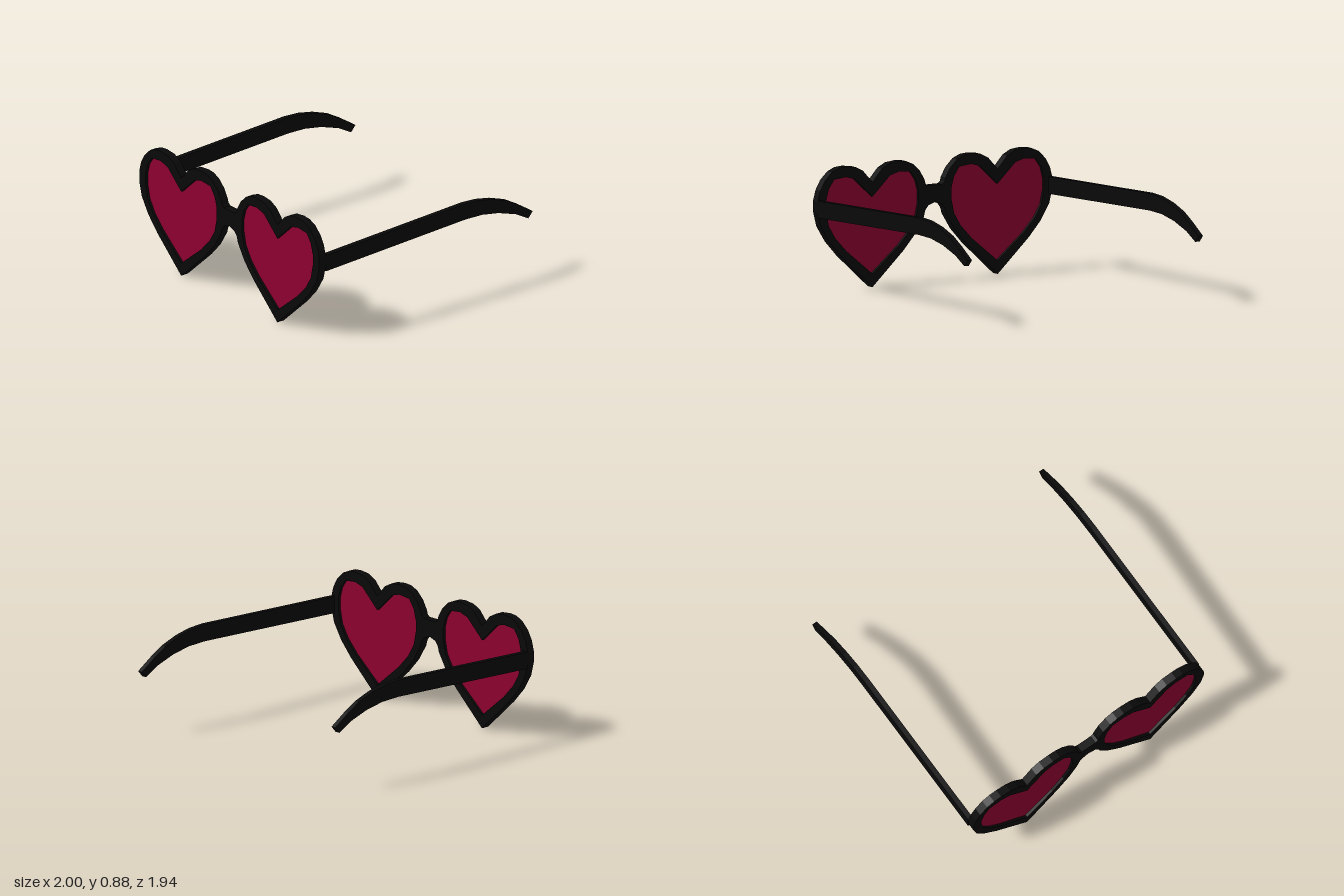
import * as THREE from 'three';

const FRONT = 0.97, BACK = 0.91;   // z range of the front frame
const HEART_X = 0.532;             // centre of each heart

// Right half of each heart outline, from the notch round to the tip
const OUTER = [[0, 0.748], [0.08, 0.835], [0.145, 0.868], [0.225, 0.877], [0.285, 0.872], [0.345, 0.847],
  [0.405, 0.79], [0.443, 0.725], [0.464, 0.65], [0.464, 0.57], [0.437, 0.465], [0.365, 0.35],
  [0.265, 0.24], [0, 0]];
const INNER = [[0, 0.644], [0.15, 0.782], [0.225, 0.803], [0.325, 0.793], [0.37, 0.73],
  [0.393, 0.65], [0.393, 0.57], [0.37, 0.465], [0.315, 0.375], [0.22, 0.275], [0, 0.096]];

const toPoints = (list) => list.map(([x, y]) => new THREE.Vector2(x, y));

// Closes a half outline by mirroring it in x (runs clockwise)
function mirrored(half) {
  const other = half.slice(1, -1).reverse().map(([x, y]) => [-x, y]);
  return toPoints([...half, ...other]);
}

// Straight-sided slab of a shape between two z values
function slab(shape, z0, z1) {
  const geo = new THREE.ExtrudeGeometry(shape, { depth: z1 - z0, bevelEnabled: false });
  return geo.translate(0, 0, z0);
}

export function createModel() {
  const model = new THREE.Group();
  model.name = 'heartSunglasses';
  const black = new THREE.MeshStandardMaterial({ color: 0x090909 });
  const red = new THREE.MeshStandardMaterial({ color: 0x8d002f });

  const add = (name, geometry, material, x = 0) => {
    const mesh = new THREE.Mesh(geometry, material);
    mesh.name = name;
    mesh.position.x = x;
    model.add(mesh);
  };

  // Heart rim: counter-clockwise outline with a clockwise opening, so the inner wall faces inwards
  const rimShape = new THREE.Shape(mirrored(OUTER).reverse());
  rimShape.holes.push(new THREE.Path(mirrored(INNER)));
  const rim = slab(rimShape, BACK, FRONT);

  // Lens set in the middle of the rim's depth
  const lens = slab(new THREE.Shape(mirrored(INNER)), 0.93, 0.95);

  // Temple arm side profile as [z, y]: along the top, round the ear hook, back underneath
  const arm = [[0.91, 0.655], [-0.345, 0.7], [-0.475, 0.692], [-0.605, 0.665], [-0.74, 0.617],
    [-0.845, 0.557], [-0.97, 0.475], [-0.93, 0.43], [-0.815, 0.493], [-0.66, 0.545],
    [-0.51, 0.573], [-0.355, 0.579], [0.91, 0.533]];
  const armShape = new THREE.Shape(toPoints(arm.map(([z, y]) => [-z, y])));
  const temple = slab(armShape, -0.019, 0.019).rotateY(Math.PI / 2);

  for (const [side, s] of [['left', 1], ['right', -1]]) {
    add(side + 'Rim', rim, black, s * HEART_X);
    add(side + 'Lens', lens, red, s * HEART_X);
    add(side + 'Temple', temple, black, s * 0.981);
  }

  // Nose bridge, flaring into the rims at both ends
  const bridgeHalf = [[0, 0.68], [0.06, 0.68], [0.08, 0.695], [0.1, 0.735], [0.12, 0.735],
    [0.12, 0.46], [0.098, 0.46], [0.082, 0.51], [0.058, 0.54], [0, 0.56]];
  add('bridge', slab(new THREE.Shape(mirrored(bridgeHalf)), BACK, FRONT), black);

  return model;
}
